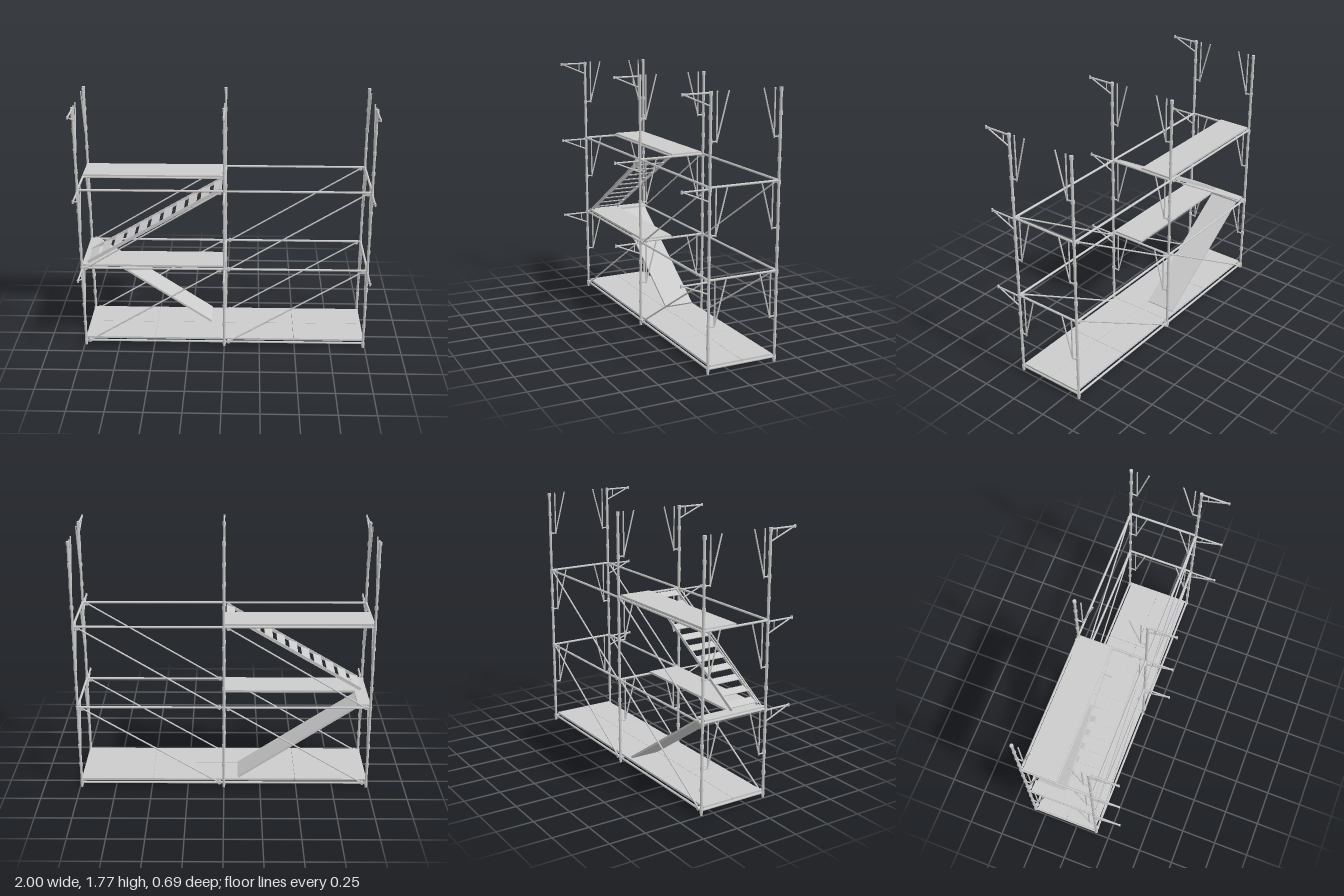
import * as THREE from 'three';

const mat = new THREE.MeshStandardMaterial({ color: 0xcccccc });
const POSTS_X = [-0.988, 0, 0.988];
const FRONT = 0.152, BACK = -0.333;
const LEVELS = [0.035, 0.61, 1.19];

export function createModel() {
  const root = new THREE.Group();
  const add = (parent, name, geometry) => {
    const mesh = new THREE.Mesh(geometry, mat);
    mesh.name = name;
    parent.add(mesh);
    return mesh;
  };
  const group = (name) => {
    const g = new THREE.Group();
    g.name = name;
    root.add(g);
    return g;
  };
  // round tube between two points
  const tube = (parent, name, a, b, r = 0.008) => {
    const p = new THREE.Vector3(...a), q = new THREE.Vector3(...b);
    const d = q.clone().sub(p);
    const m = add(parent, name, new THREE.CylinderGeometry(r, r, d.length(), 10));
    m.position.copy(p).add(q).multiplyScalar(0.5);
    m.quaternion.setFromUnitVectors(new THREE.Vector3(0, 1, 0), d.normalize());
    return m;
  };
  // box given by its limits
  const slab = (parent, name, x0, x1, y0, y1, z0, z1) => {
    const m = add(parent, name, new THREE.BoxGeometry(x1 - x0, y1 - y0, z1 - z0));
    m.position.set((x0 + x1) / 2, (y0 + y1) / 2, (z0 + z1) / 2);
    return m;
  };
  // sloping box in the x-y plane
  const incline = (parent, name, [xa, ya], [xb, yb], thick, z0, z1) => {
    const m = add(parent, name, new THREE.BoxGeometry(Math.hypot(xb - xa, yb - ya), thick, z1 - z0));
    m.position.set((xa + xb) / 2, (ya + yb) / 2, (z0 + z1) / 2);
    m.rotation.z = Math.atan2(yb - ya, xb - xa);
    return m;
  };

  // posts with their connector collars
  for (const x of POSTS_X) for (const z of [FRONT, BACK]) {
    const post = group('post');
    tube(post, 'postTube', [x, 0, z], [x, 1.76, z], 0.009);
    for (let i = 0; i < 13; i++) {
      const y = 0.03 + i * 0.1437;
      tube(post, 'collar', [x, y - 0.013, z], [x, y + 0.013, z], 0.012);
    }
  }

  // horizontal ledgers and transoms
  const rails = group('rails');
  for (const y of LEVELS) {
    for (const x of POSTS_X) tube(rails, 'transom', [x, y, FRONT], [x, y, BACK]);
    for (const z of [FRONT, BACK])
      for (let b = 0; b < 2; b++) tube(rails, 'ledger', [POSTS_X[b], y, z], [POSTS_X[b + 1], y, z]);
  }

  // diagonal braces with end couplers
  const braces = group('diagonalBraces');
  for (let b = 0; b < 2; b++) for (let l = 0; l < 2; l++) for (const z of [FRONT, BACK]) {
    const a = [POSTS_X[b] + 0.03, LEVELS[l], z], c = [POSTS_X[b + 1] - 0.03, LEVELS[l + 1] - 0.01, z];
    tube(braces, 'brace', a, c, 0.0055);
    for (const p of [a, c])
      tube(braces, 'coupler', [p[0], p[1], z - 0.01], [p[0], p[1], z + 0.01], 0.013);
  }

  // brackets on every post at three heights
  for (const x of POSTS_X) for (const top of [0.6, 1.18, 1.757]) {
    const outer = group('outerBracket');
    tube(outer, 'arm', [x, top, FRONT], [x, top, 0.34], 0.006);
    tube(outer, 'strut', [x, top, 0.335], [x, top - 0.078, FRONT], 0.005);
    tube(outer, 'hanger', [x, top, 0.2], [x, top - 0.06, 0.2], 0.004);
    tube(outer, 'tip', [x, top - 0.01, 0.34], [x, top + 0.01, 0.34], 0.007);
    for (const [zPost, dir] of [[FRONT, -1], [BACK, 1]]) {
      const inner = group('innerBracket');
      const z = zPost + dir * 0.043, low = top - 0.29;
      tube(inner, 'upright', [x, low - 0.008, z], [x, top + 0.01, z], 0.005);
      tube(inner, 'foot', [x, low, zPost], [x, low, z], 0.005);
      tube(inner, 'strut', [x, low, z], [x, top + 0.01, z + dir * 0.08], 0.005);
    }
  }

  // ground decks, four panels to a bay
  const ground = group('groundDeck');
  for (let b = 0; b < 2; b++) for (let i = 0; i < 2; i++) for (let j = 0; j < 2; j++) {
    const x0 = POSTS_X[b] + i * 0.494, z0 = -0.317 + j * 0.228;
    slab(ground, 'deckPanel', x0 + 0.001, x0 + 0.493, 0.042, 0.056, z0 + 0.001, z0 + 0.227);
  }

  // middle deck with a landing at the head of the ramp, and the upper deck
  const decks = group('upperDecks');
  slab(decks, 'middleDeck', -0.988, -0.005, 0.613, 0.628, -0.09, 0.135);
  slab(decks, 'landing', -0.988, -0.905, 0.613, 0.628, -0.315, -0.09);
  slab(decks, 'topDeck', -0.988, -0.005, 1.193, 1.208, -0.32, -0.092);
  tube(decks, 'deckSupport', [-0.988, 1.19, -0.09], [0, 1.19, -0.09], 0.006);

  // solid ramp from the ground to the landing
  const ramp = group('ramp');
  incline(ramp, 'rampPlate', [-0.91, 0.61], [-0.1, 0.063], 0.014, -0.305, -0.092);

  // stair from the middle deck to the upper level
  const stair = group('stair');
  const foot = [-0.95, 0.637], head = [-0.02, 1.19];
  for (const z of [-0.09, 0.112]) incline(stair, 'stringer', foot, head, 0.022, z, z + 0.008);
  for (let i = 0; i < 11; i++) {
    const t = (i + 0.4) / 10.7;
    const x = foot[0] + t * (head[0] - foot[0]), y = foot[1] + t * (head[1] - foot[1]);
    incline(stair, 'tread', [x - 0.028, y - 0.011], [x + 0.028, y + 0.009], 0.005, -0.083, 0.113);
  }

  return root;
}
